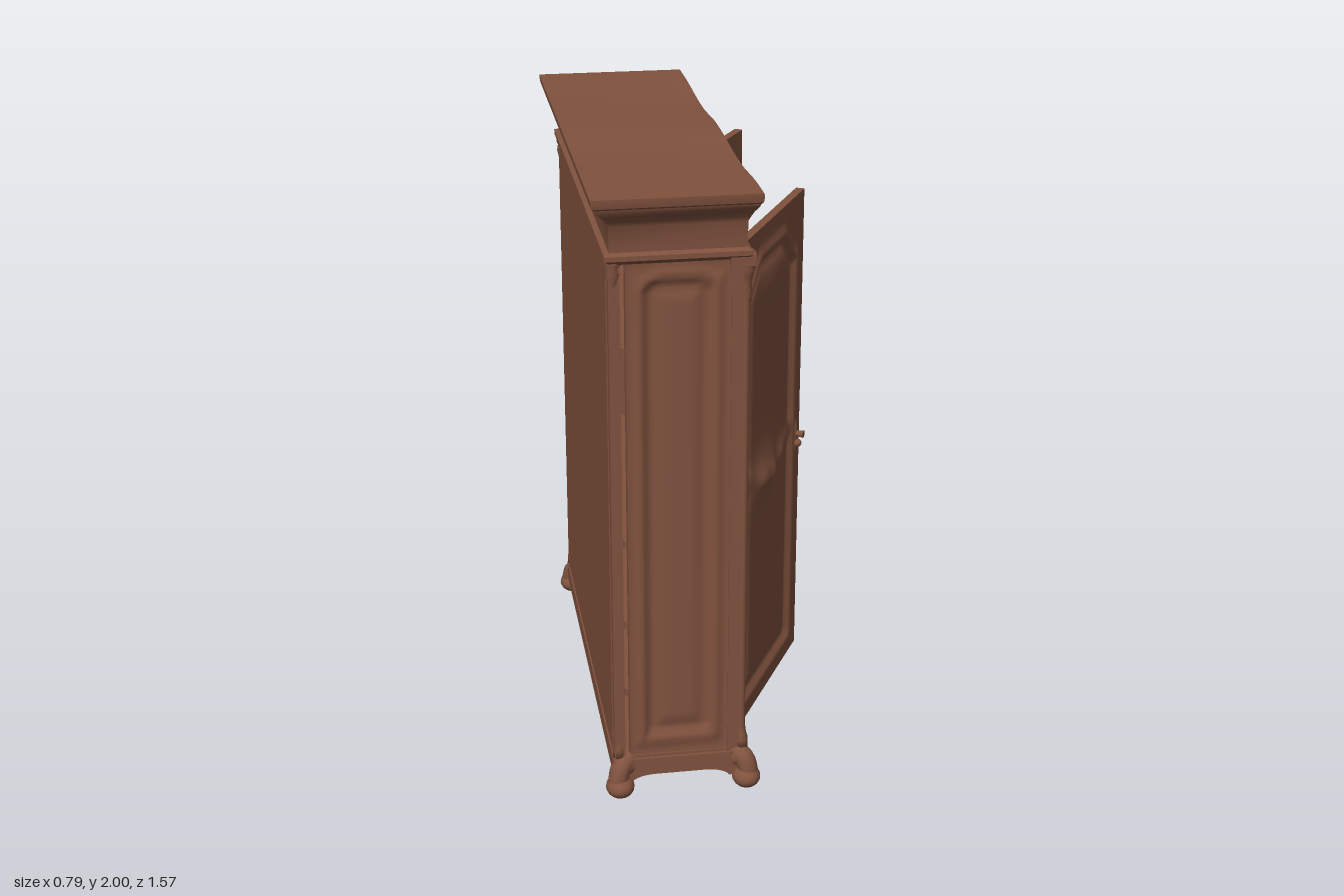
import * as THREE from 'three';
import { toCreasedNormals } from 'three/addons/utils/BufferGeometryUtils.js';

const wood = new THREE.MeshStandardMaterial({ color: 0x80523e });
wood.name = 'brown wood';
const woodThin = wood.clone();
woodThin.side = THREE.DoubleSide;

const gauss = (v, s) => Math.exp(-(v * v) / (s * s));
const smooth = (a, b, v) => THREE.MathUtils.smoothstep(v, a, b);

export function createModel() {
  const model = new THREE.Group();
  model.name = 'wardrobe';

  const add = (name, geometry, parent = model, material = wood) => {
    const mesh = new THREE.Mesh(geometry, material);
    mesh.name = name;
    parent.add(mesh);
    return mesh;
  };
  // Box given by its limits on each axis
  const box = (name, x0, x1, y0, y1, z0, z1, parent) => {
    const m = add(name, new THREE.BoxGeometry(x1 - x0, y1 - y0, z1 - z0), parent);
    m.position.set((x0 + x1) / 2, (y0 + y1) / 2, (z0 + z1) / 2);
    return m;
  };
  // Board whose front face is carved by a height rule
  const carvedBoard = (w, h, t, nx, ny, height) => {
    const g = new THREE.BoxGeometry(w, h, t, nx, ny, 1);
    const p = g.attributes.position;
    const edge = 0.001;
    for (let i = 0; i < p.count; i++) {
      const x = p.getX(i), y = p.getY(i);
      if (p.getZ(i) > 0 && Math.abs(x) < w / 2 - edge && Math.abs(y) < h / 2 - edge) {
        p.setZ(i, t / 2 + height(x, y));
      }
    }
    g.computeVertexNormals();
    return g;
  };
  // Moulded panel with an arched head: positive depth lies inside
  const panelRelief = (x, y, hw, y0, y1, arch) => {
    const top = y1 - arch * smooth(0.45, 1, Math.abs(x) / hw);
    const d = Math.min(hw - Math.abs(x), y - y0, top - y);
    return 0.01 * gauss(d, 0.016) - 0.01 * smooth(0, 0.03, d) + 0.01 * smooth(0.03, 0.075, d);
  };

  // Back, floor, partition and shelves
  box('backPanel', -0.33, -0.305, 0.12, 1.8, -0.71, 0.645);
  box('floor', -0.33, 0.07, 0.105, 0.135, -0.71, 0.71);
  box('partition', -0.306, 0.055, 0.13, 1.8, -0.35, -0.325);
  for (const y of [1.5, 0.87, 0.59, 0.35]) {
    box('shelf', -0.306, 0.04, y - 0.013, y + 0.013, -0.33, 0.645);
    box('shelfPeg', -0.29, -0.26, y - 0.012, y + 0.012, 0.64, 0.68);
  }
  for (const y of [1.47, 0.6]) box('sideShelf', -0.306, 0.04, y - 0.013, y + 0.013, -0.68, -0.345);

  // Side walls, corner posts and slim columns
  const sideGeo = carvedBoard(0.315, 1.67, 0.033, 30, 90, (x, y) => panelRelief(x, y, 0.115, -0.77, 0.78, 0.02) - 0.002);
  const columnGeo = new THREE.LatheGeometry([
    [0, 0], [0.024, 0], [0.024, 0.03], [0.018, 0.05], [0.014, 0.08], [0.014, 1.53], [0.02, 1.55],
    [0.016, 1.57], [0.022, 1.6], [0.028, 1.62], [0.024, 1.64], [0.03, 1.65], [0.03, 1.67], [0, 1.67],
  ].map(([x, y]) => new THREE.Vector2(x, y)), 12);
  for (const s of [1, -1]) {
    const side = add('sideWall', sideGeo);
    side.position.set(-0.122, 0.96, s * 0.69);
    if (s < 0) side.rotation.y = Math.PI;
    box('backPost', -0.33, -0.296, 0.12, 1.8, s * 0.694 - 0.018, s * 0.694 + 0.018);
    box('frontPost', 0.034, 0.072, 0.12, 1.8, s * 0.694 - 0.018, s * 0.694 + 0.018);
    add('frontColumn', columnGeo).position.set(0.08, 0.13, s * 0.692);
    const back = add('backColumn', columnGeo);
    back.position.set(-0.315, 0.13, s * 0.698);
    back.scale.set(0.8, 1, 0.8);
    box('capital', 0.03, 0.105, 1.765, 1.8, s * 0.695 - 0.03, s * 0.695 + 0.03);
  }

  // Cornice: stacked rings with a waving front lip
  const N = 48;
  const rings = [ // height, outward offset, front x
    [1.785, 0, 0.075], [1.795, 0.012, 0.088], [1.8, 0.02, 0.093], [1.815, 0.02, 0.093], [1.822, 0.002, 0.08],
    [1.9, 0.004, 0.08], [1.915, 0.012, 0.086], [1.935, 0.03, 0.093], [1.955, 0.052, 0.104],
    [1.965, 0.055, 0.108], [1.972, 0.066, 0.113], [1.99, 0.07, 0.115], [2, 0.07, 0.113],
  ];
  const pos = [], index = [], M = 2 * N + 2;
  for (const [y, o, front] of rings) {
    const hz = 0.715 + o;
    for (let i = 0; i < M; i++) {
      const isFront = i <= N;
      const z = isFront ? hz * (1 - 2 * i / N) : -hz * (1 - 2 * (i - N - 1) / N);
      const wave = Math.abs(z) < 0.7 ? Math.sin(Math.PI * z / 0.7) ** 2 : 0;
      const w = isFront ? wave * smooth(1.89, 1.97, y) : 0;
      pos.push(isFront ? front + 0.008 * w : -0.325 - o * 0.86, y - 0.026 * w, z);
    }
  }
  for (let j = 0; j < rings.length - 1; j++) {
    for (let i = 0; i < M; i++) {
      const a = j * M + i, b = j * M + (i + 1) % M;
      index.push(a, b, b + M, a, b + M, a + M);
    }
  }
  const last = (rings.length - 1) * M;
  for (let k = 0; k < N; k++) {
    const f = k, g = k + 1, bg = M - 2 - k, bf = M - 1 - k;
    index.push(last + f, last + g, last + bg, last + f, last + bg, last + bf);
    index.push(f, bg, g, f, bf, bg);
  }
  const corniceGeo = new THREE.BufferGeometry();
  corniceGeo.setAttribute('position', new THREE.Float32BufferAttribute(pos, 3));
  corniceGeo.setIndex(index);
  add('cornice', toCreasedNormals(corniceGeo, 0.6));

  // Base rails; the end rails have a low arch
  box('frontRail', 0.055, 0.095, 0.065, 0.125, -0.71, 0.71);
  box('backRail', -0.335, -0.305, 0.065, 0.125, -0.71, 0.71);
  const apron = new THREE.Shape();
  apron.moveTo(-0.335, 0.04);
  apron.lineTo(-0.28, 0.04);
  apron.quadraticCurveTo(-0.26, 0.065, -0.2, 0.066);
  apron.lineTo(-0.04, 0.066);
  apron.quadraticCurveTo(0.02, 0.065, 0.04, 0.04);
  apron.lineTo(0.095, 0.04);
  apron.lineTo(0.095, 0.125);
  apron.lineTo(-0.335, 0.125);
  const apronGeo = new THREE.ExtrudeGeometry(apron, { depth: 0.03, bevelEnabled: false, curveSegments: 8 });
  for (const z of [0.69, -0.72]) add('endRail', apronGeo).position.z = z;

  // Scrolled feet turning outwards at each corner
  for (const sx of [1, -1]) {
    for (const sz of [1, -1]) {
      const foot = new THREE.Group();
      foot.name = 'foot';
      foot.position.set(sx > 0 ? 0.09 : -0.312, 0, sz * 0.715);
      const path = new THREE.CatmullRomCurve3([
        [-0.03, 0.115, -0.03], [0, 0.095, 0], [0.008, 0.065, 0.008], [0.012, 0.035, 0.012],
      ].map(([x, y, z]) => new THREE.Vector3(x * sx, y, z * sz)));
      add('ankle', new THREE.TubeGeometry(path, 10, 0.033, 12), foot);
      const toe = add('toe', new THREE.SphereGeometry(1, 16, 12), foot);
      toe.position.set(0.004 * sx, 0.036, 0.01 * sz);
      toe.scale.set(0.046, 0.036, 0.05);
      add('knee', new THREE.SphereGeometry(0.036, 14, 10), foot).position.set(-0.018 * sx, 0.098, -0.018 * sz);
      model.add(foot);
    }
  }

  // Doors: hinge at the local origin, leaf along +x, carved face towards +z
  const H = 1.655, T = 0.028;
  const door = (name, x, z, angle, width, height, slot) => {
    const group = new THREE.Group();
    group.name = name;
    group.position.set(x, 0.135, z);
    group.rotation.y = angle;
    const g = carvedBoard(width, H, T, 56, 130, height);
    if (slot) { // pierced opening under the arch
      const p = g.attributes.position, kept = [];
      for (let i = 0; i < g.index.count; i += 3) {
        const t = [0, 1, 2].map((k) => g.index.getX(i + k));
        const cx = t.reduce((s, v) => s + p.getX(v), 0) / 3;
        const cy = t.reduce((s, v) => s + p.getY(v), 0) / 3;
        if (!slot(cx, cy)) kept.push(...t);
      }
      g.setIndex(kept);
    }
    add('leaf', g, group, slot ? woodThin : wood).position.set(width / 2, H / 2, 0);
    // Handle plate, knob and drop
    const hx = width - 0.055;
    const plate = add('handlePlate', new THREE.SphereGeometry(1, 12, 10), group);
    plate.position.set(hx, 0.81, T / 2);
    plate.scale.set(0.016, 0.06, 0.01);
    const knob = add('handleKnob', new THREE.CylinderGeometry(0.013, 0.009, 0.03, 12), group);
    knob.rotation.x = Math.PI / 2;
    knob.position.set(hx, 0.82, T / 2 + 0.018);
    add('handleDrop', new THREE.SphereGeometry(0.014, 12, 8), group).position.set(hx, 0.785, T / 2 + 0.012);
    // Hinge knuckles
    for (const y of [0.2, 1.45]) {
      add('hinge', new THREE.CylinderGeometry(0.01, 0.01, 0.09, 10), group).position.set(0, y, T / 2);
    }
    model.add(group);
  };

  door('wideDoor', 0.05, 0.64, 1.07, 0.685, (x, y) => {
    let h = panelRelief(x, y, 0.255, -0.76, 0.74, 0.11);
    h += 0.024 * gauss(x + 0.06, 0.1) * gauss(y + 0.02, 0.08);
    // Leafy swag across the middle
    const swag = y + 0.02 - 1.1 * x * x;
    h += 0.012 * gauss(swag, 0.035) * (1 - smooth(0.2, 0.27, Math.abs(x))) * (0.7 + 0.3 * Math.cos(x * 55));
    return h + 0.006 * gauss(x, 0.12) * gauss(y - 0.62, 0.05);
  });

  door('narrowDoor', 0.08, -0.345, 1.018, 0.45, (x, y) => {
    let h = panelRelief(x, y, 0.15, 0.06, 0.73, 0.1) + panelRelief(x, y, 0.15, -0.76, -0.13, 0.03);
    h += 0.016 * gauss(x, 0.09) * gauss(y + 0.03, 0.06);
    return h + 0.005 * gauss(x, 0.1) * gauss(y + 0.2, 0.04);
  }, (x, y) => {
    const arc = 0.69 - 4 * x * x;
    return Math.abs(x) < 0.085 && y < arc && y > arc - 0.022;
  });

  return model;
}
